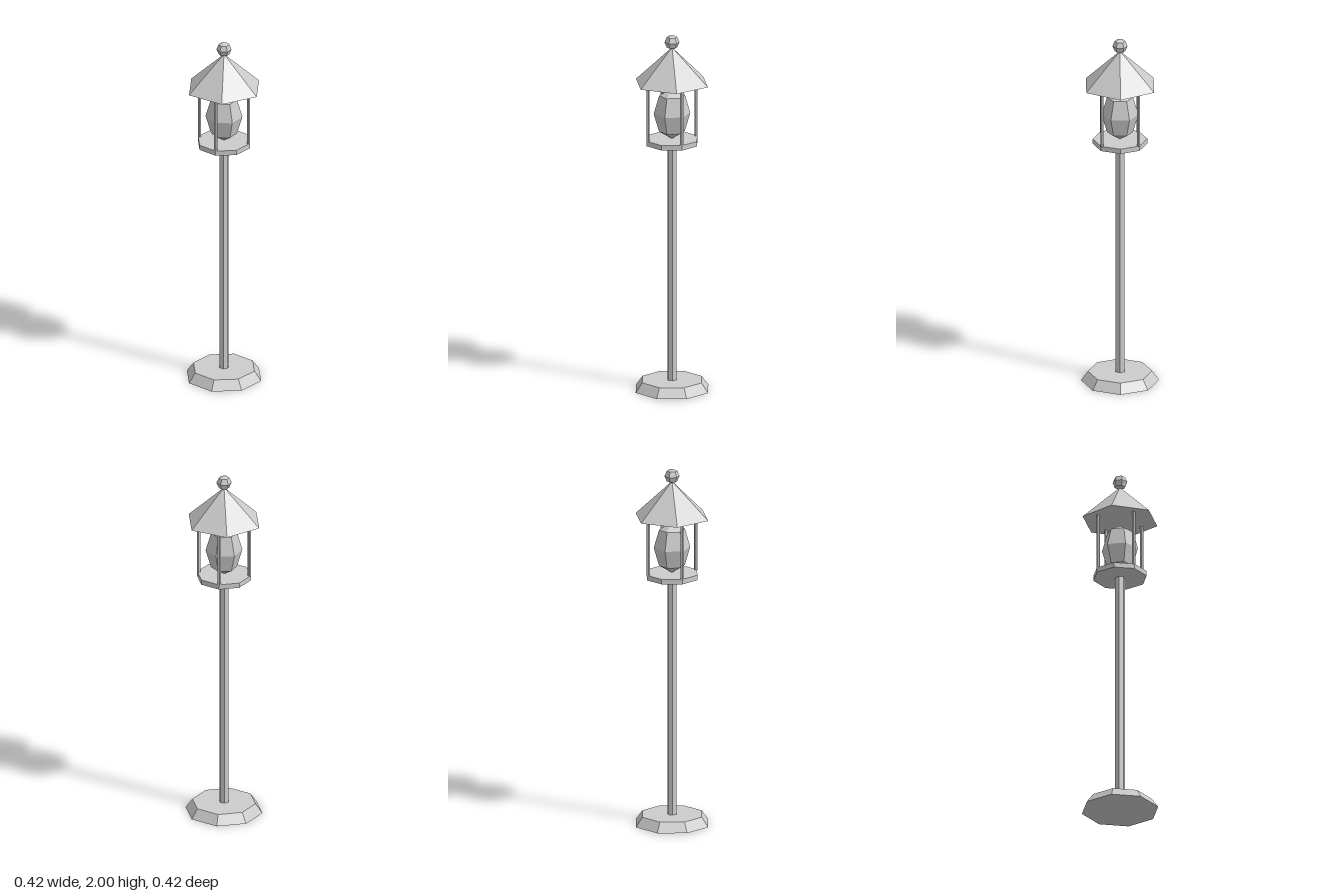
import * as THREE from 'three';

const material = new THREE.MeshStandardMaterial({ color: 0xcccccc, flatShading: true });

export function createModel() {
  const group = new THREE.Group();
  group.name = 'lampPost';

  const add = (name, geometry, x, y, z) => {
    const mesh = new THREE.Mesh(geometry, material);
    mesh.name = name;
    mesh.position.set(x, y, z);
    group.add(mesh);
    return mesh;
  };

  // Upright prism from y0 to y1, with one corner on the +x axis
  const prism = (name, rTop, rBottom, y0, y1, sides, x = 0, z = 0) => {
    const geometry = new THREE.CylinderGeometry(rTop, rBottom, y1 - y0, sides);
    geometry.rotateY(Math.PI / 2);
    return add(name, geometry, x, (y0 + y1) / 2, z);
  };

  // Six-sided faceted ball, with corners on the z axis
  const ball = (name, radius, halfHeight, y) => {
    const geometry = new THREE.SphereGeometry(radius, 6, 4);
    geometry.rotateY(Math.PI / 2);
    geometry.scale(1, halfHeight / radius, 1);
    return add(name, geometry, 0, y, 0);
  };

  // Foot and pole
  prism('base', 0.174, 0.212, 0, 0.053, 8);
  prism('pole', 0.027, 0.027, 0.05, 1.39, 6);

  // Lantern: tray, globe and four corner posts
  prism('tray', 0.148, 0.148, 1.387, 1.415, 8);
  ball('globe', 0.1, 0.143, 1.557);
  for (const x of [-0.099, 0.099]) {
    for (const z of [-0.099, 0.099]) {
      prism('lanternPost', 0.01, 0.01, 1.41, 1.735, 6, x, z);
    }
  }

  // Roof and finial
  prism('roof', 0, 0.212, 1.728, 1.93, 6);
  ball('finial', 0.041, 0.041, 1.959);

  return group;
}
